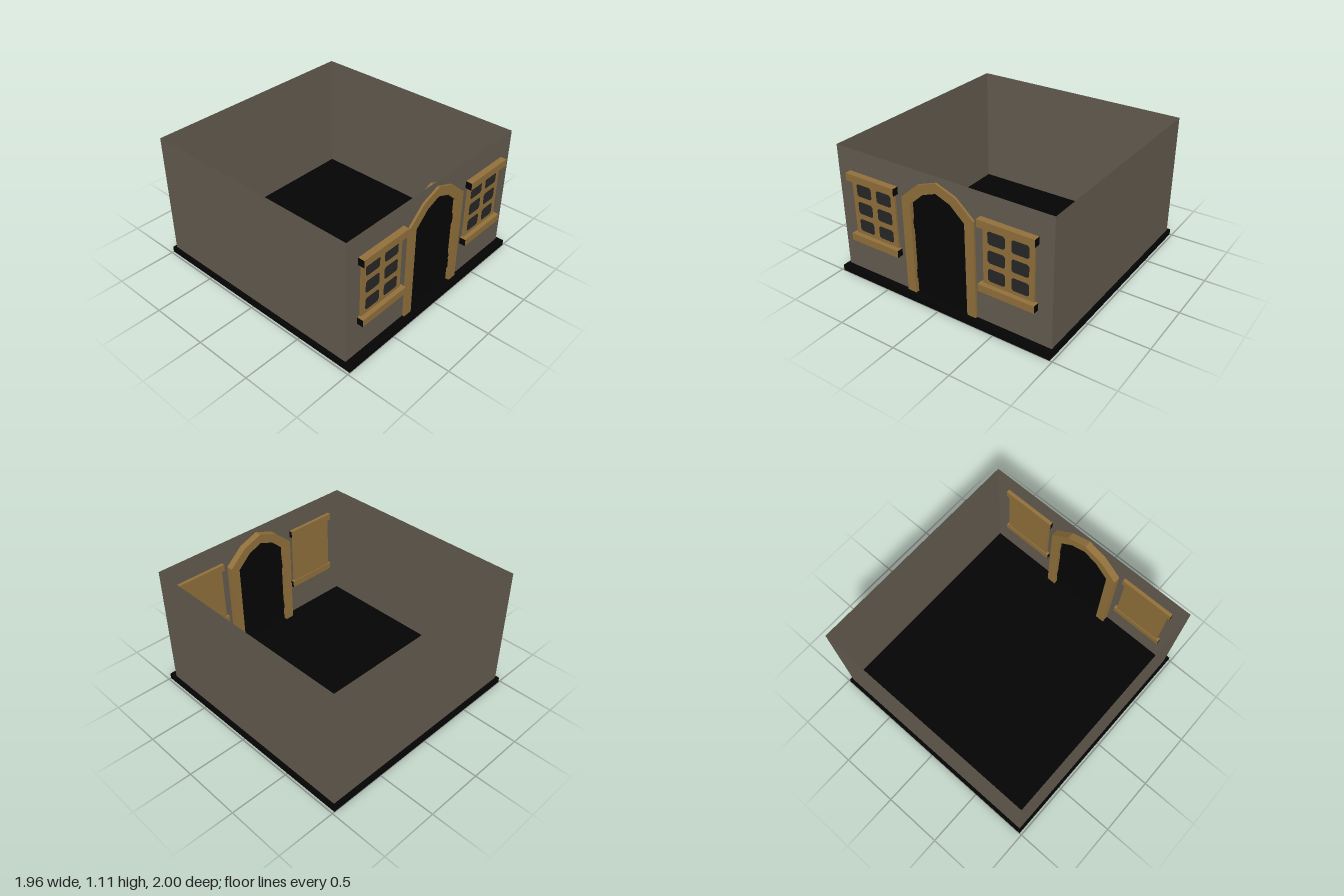
import * as THREE from 'three';

const mat = (name, color, extra = {}) =>
  Object.assign(new THREE.MeshStandardMaterial({ color, ...extra }), { name });

export function createModel() {
  const stone = mat('stone', 0x655d50, { side: THREE.DoubleSide });
  const wood = mat('wood', 0x93713b);
  const black = mat('black', 0x040404);
  const glass = mat('dark glass', 0x272728);

  const model = new THREE.Group();
  model.name = 'house';

  const add = (parent, name, geometry, material, x = 0, y = 0, z = 0) => {
    const mesh = new THREE.Mesh(geometry, material);
    mesh.name = name;
    mesh.position.set(x, y, z);
    parent.add(mesh);
    return mesh;
  };
  // box given by its low and high corners
  const box = (parent, name, material, [x0, y0, z0], [x1, y1, z1]) =>
    add(parent, name, new THREE.BoxGeometry(x1 - x0, y1 - y0, z1 - z0), material,
      (x0 + x1) / 2, (y0 + y1) / 2, (z0 + z1) / 2);
  const extrude = (shape, depth) =>
    new THREE.ExtrudeGeometry(shape, { depth, bevelEnabled: false });

  // pointed arch outlines, mirrored from the right half
  const floorY = 0.05;
  const archPoints = (half) => [
    ...half.map(([x, y]) => new THREE.Vector2(x, y)),
    ...half.slice(0, -1).reverse().map(([x, y]) => new THREE.Vector2(-x, y)),
  ];
  const inner = archPoints([[0.244, floorY], [0.244, 0.822], [0.123, 0.934], [0, 0.981]]);
  const outer = archPoints([[0.323, floorY], [0.323, 0.862], [0.168, 1.0], [0, 1.062]]);

  // floor slab
  box(model, 'floor', black, [-0.98, 0, -1], [0.98, floorY, 1]);

  // thin-walled room, open at the top, its base just under the slab's surface
  const wx = 0.959, top = 1.106, zf = 0.94, zb = -0.975;
  const height = top - floorY, midY = (top + floorY) / 2, midZ = (zf + zb) / 2;
  const frontShape = new THREE.Shape([
    new THREE.Vector2(-wx, floorY),
    ...[...inner].reverse(),
    new THREE.Vector2(wx, floorY),
    new THREE.Vector2(wx, top),
    new THREE.Vector2(-wx, top),
  ]);
  add(model, 'frontWall', new THREE.ShapeGeometry(frontShape), stone, 0, 0, zf);
  add(model, 'backWall', new THREE.PlaneGeometry(2 * wx, height), stone, 0, midY, zb)
    .rotation.y = Math.PI;
  for (const s of [-1, 1]) {
    add(model, s > 0 ? 'leftWall' : 'rightWall',
      new THREE.PlaneGeometry(zf - zb, height), stone, s * wx, midY, midZ)
      .rotation.y = s * Math.PI / 2;
  }
  add(model, 'roomBase', new THREE.PlaneGeometry(2 * wx, zf - zb), stone, 0, floorY - 0.001, midZ)
    .rotation.x = Math.PI / 2;

  // door with arched frame, iron bands and ring handle
  const door = new THREE.Group();
  door.name = 'door';
  model.add(door);
  const frame = new THREE.Shape([...outer, ...[...inner].reverse()]);
  add(door, 'doorFrame', extrude(frame, 0.079), wood, 0, 0, 0.88);
  add(door, 'doorLeaf', extrude(new THREE.Shape(inner), 0.012), black, 0, 0, 0.914);
  for (const y of [0.17, 0.61]) {
    box(door, 'doorBand', black, [-0.243, y, 0.905], [0.243, y + 0.08, 0.935]);
  }
  box(door, 'handlePlate', black, [0.13, 0.29, 0.92], [0.185, 0.41, 0.945]);
  add(door, 'handleRing', new THREE.TorusGeometry(0.032, 0.007, 6, 12), black, 0.158, 0.335, 0.96);
  box(door, 'handleKnob', black, [0.148, 0.36, 0.94], [0.168, 0.38, 0.968]);

  // pane with cut corners
  const w = 0.0715, h = 0.052, c = 0.014;
  const pane = extrude(new THREE.Shape([
    [w - c, -h], [w, c - h], [w, h - c], [w - c, h],
    [c - w, h], [-w, h - c], [-w, c - h], [c - w, -h],
  ].map(([x, y]) => new THREE.Vector2(x, y))), 0.003);

  // windows on both sides of the door; sill ends are black
  const sillMaterials = [black, black, wood, wood, wood, wood];
  for (const s of [-1, 1]) {
    const win = new THREE.Group();
    win.name = s > 0 ? 'leftWindow' : 'rightWindow';
    win.position.x = s * 0.607;
    model.add(win);
    box(win, 'windowPanel', wood, [-0.211, 0.39, 0.917], [0.211, 0.87, 0.955]);
    box(win, 'sill', sillMaterials, [-0.235, 0.335, 0.91], [0.235, 0.395, 0.993]);
    box(win, 'lintel', sillMaterials, [-0.235, 0.859, 0.91], [0.235, 0.92, 0.993]);
    for (const x of [-0.098, 0.098]) {
      for (const y of [0.477, 0.628, 0.779]) add(win, 'pane', pane, glass, x, y, 0.953);
    }
  }
  return model;
}
